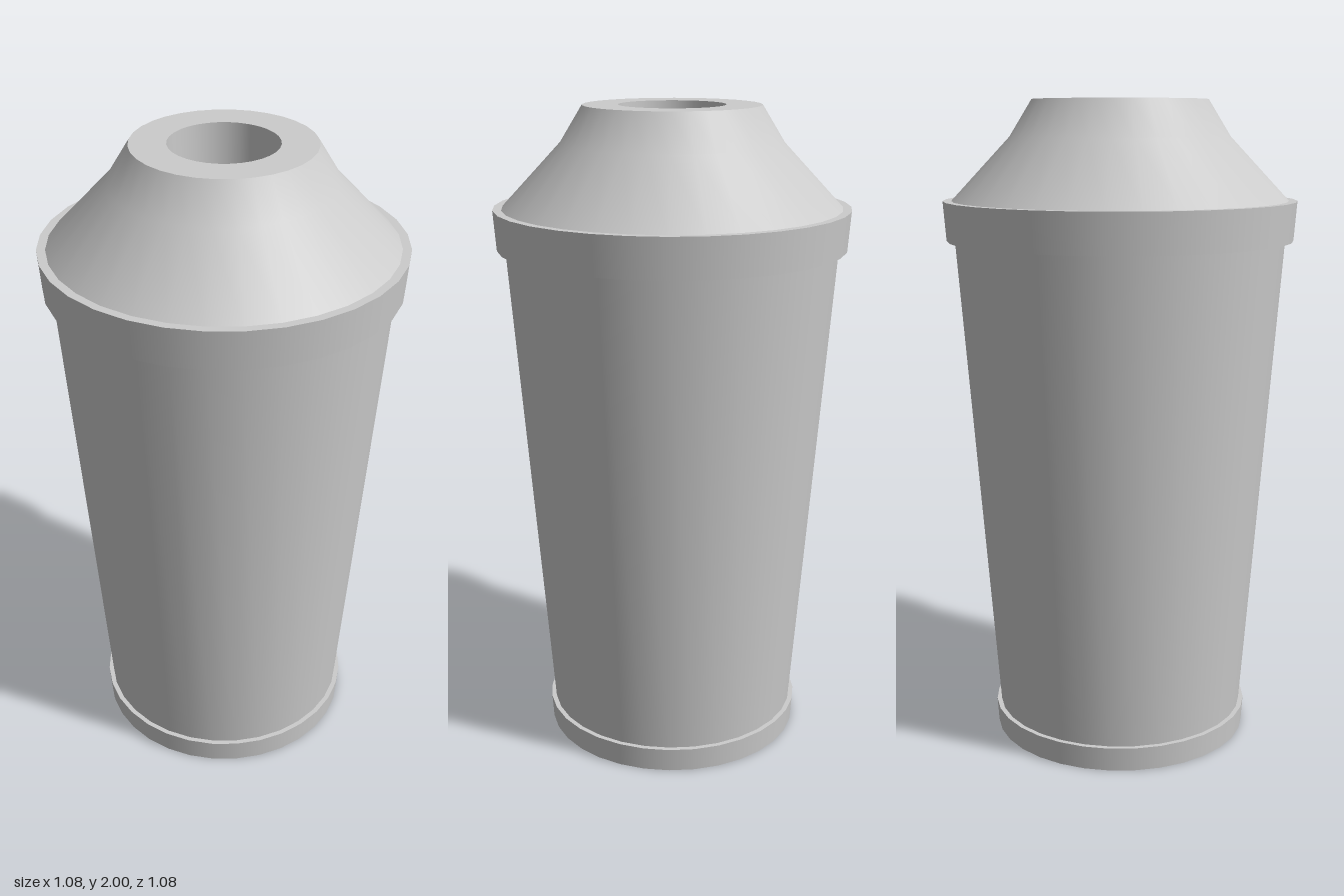
import * as THREE from 'three';

const SEGMENTS = 32;

export function createModel() {
  const group = new THREE.Group();
  const material = new THREE.MeshStandardMaterial({ color: 0xcccccc });

  // Each section is a separate smooth [radius, height] profile, so edges between sections stay sharp
  const addPart = (name, ...sections) => {
    const part = new THREE.Group();
    part.name = name;
    for (const section of sections) {
      const points = section.map(([r, y]) => new THREE.Vector2(r, y));
      const mesh = new THREE.Mesh(new THREE.LatheGeometry(points, SEGMENTS), material);
      mesh.name = name + 'Surface';
      part.add(mesh);
    }
    group.add(part);
  };

  // Base ring with closed underside
  addPart('base',
    [[0, 0], [0.403, 0]],
    [[0.403, 0], [0.408, 0.075]],
    [[0.408, 0.075], [0.393, 0.075]]);

  // Tapered cup wall
  addPart('cupBody', [[0.393, 0.075], [0.506, 1.58]]);

  // Overhanging lid band
  addPart('lidBand',
    [[0.506, 1.58], [0.531, 1.58]],
    [[0.531, 1.58], [0.54, 1.7]],
    [[0.54, 1.7], [0.514, 1.7]]);

  // Sloped lid dome with flat top
  addPart('lidDome',
    [[0.514, 1.7], [0.335, 1.89], [0.267, 2]],
    [[0.267, 2], [0.16, 2]]);

  // Drinking hole with floor
  addPart('lidOpening',
    [[0.16, 2], [0.16, 1.7]],
    [[0.16, 1.7], [0, 1.7]]);

  return group;
}
